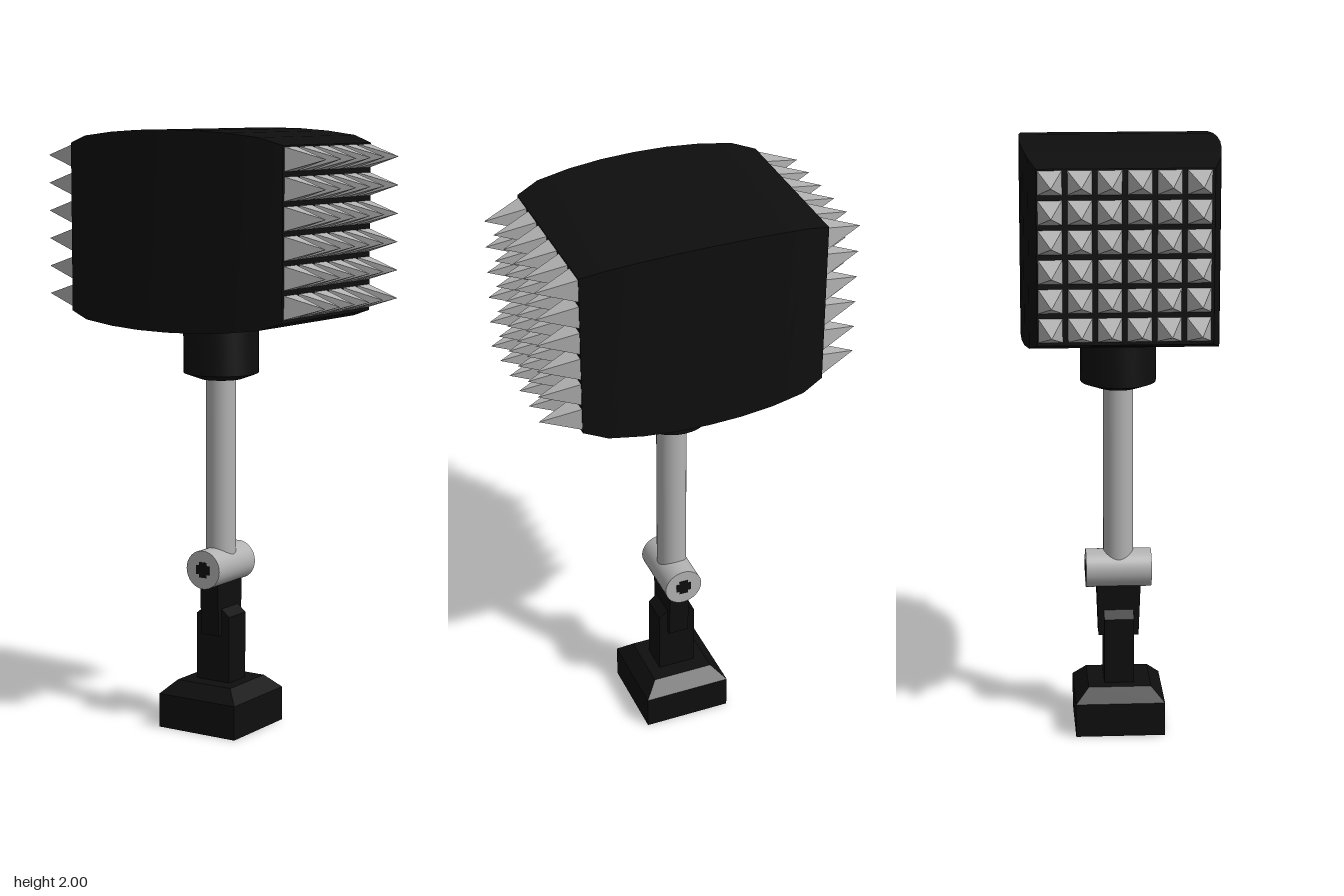
import * as THREE from 'three';
import { mergeGeometries, toCreasedNormals } from 'three/addons/utils/BufferGeometryUtils.js';

const black = new THREE.MeshStandardMaterial({ color: 0x0e0e0e });
black.name = 'black rubber';
const steel = new THREE.MeshStandardMaterial({ color: 0xb2b2b2 });
steel.name = 'steel';

const HEAD_Y = 1.68;

// Lathe with sharp edges kept; four sides gives a square block
function turned(points, sides) {
  const square = sides === 4;
  const k = square ? Math.SQRT2 : 1;
  const profile = points.map(([r, y]) => new THREE.Vector2(r * k, y));
  const g = new THREE.LatheGeometry(profile, sides, square ? Math.PI / 4 : 0);
  return toCreasedNormals(g, 0.5);
}

// Square block bulging towards its middle along x
function headGeometry() {
  const xs = [-0.405, -0.33, -0.22, -0.11, 0, 0.11, 0.22, 0.33, 0.405];
  const half = [0.274, 0.298, 0.311, 0.318, 0.32, 0.318, 0.311, 0.298, 0.274];
  const g = new THREE.BoxGeometry(8, 2, 2, 8, 1, 1);
  const p = g.attributes.position;
  for (let i = 0; i < p.count; i++) {
    const s = Math.round(p.getX(i) + 4);
    p.setXYZ(i, xs[s], p.getY(i) * half[s], p.getZ(i) * half[s]);
  }
  g.computeVertexNormals();
  return g;
}

// 6 x 6 field of pyramids pointing along +x or -x
function spikeField(side) {
  const cone = new THREE.ConeGeometry(0.039 * Math.SQRT2, 0.132, 4).toNonIndexed();
  cone.rotateY(Math.PI / 4);
  cone.rotateZ(-side * Math.PI / 2);
  cone.computeVertexNormals();
  const spikes = [];
  for (let row = 0; row < 6; row++) {
    for (let col = 0; col < 6; col++) {
      spikes.push(cone.clone().translate(
        side * 0.466, HEAD_Y + 0.003 + (row - 2.5) * 0.0915, -0.003 + (col - 2.5) * 0.092));
    }
  }
  return mergeGeometries(spikes);
}

export function createModel() {
  const model = new THREE.Group();
  model.name = 'spikedMallet';
  const add = (name, geometry, material) => {
    const mesh = new THREE.Mesh(geometry, material);
    mesh.name = name;
    model.add(mesh);
    return mesh;
  };

  // Head and its spiked striking faces
  add('head', headGeometry(), black).position.y = HEAD_Y;
  add('leftSpikes', spikeField(1), steel);
  add('rightSpikes', spikeField(-1), steel);

  // Collar under the head, and the shaft
  add('collar', turned([[0, 1.18], [0.07, 1.18], [0.125, 1.2], [0.125, 1.42]], 32), black);
  add('shaft', new THREE.CylinderGeometry(0.05, 0.05, 0.75, 32), steel).position.y = 0.925;

  // Hinge barrel with a cross recess at each end
  const barrel = new THREE.CylinderGeometry(0.065, 0.065, 0.22, 32);
  barrel.rotateX(Math.PI / 2);
  add('hingeBarrel', barrel, steel).position.y = 0.55;
  for (const side of [1, -1]) {
    for (const [w, h] of [[0.052, 0.03], [0.03, 0.052]]) {
      add('hingeRecess', new THREE.BoxGeometry(w, h, 0.004), black)
        .position.set(0, 0.55, side * 0.11);
    }
  }

  // Neck, tapering slightly downwards
  const neck = new THREE.BoxGeometry(0.07, 0.2, 0.15);
  const p = neck.attributes.position;
  for (let i = 0; i < p.count; i++) if (p.getY(i) < 0) p.setZ(i, p.getZ(i) * 0.9);
  neck.computeVertexNormals();
  add('neck', neck, black).position.y = 0.42;

  // Grip with shoulders chamfered into the neck
  const outline = new THREE.Shape([
    [-0.065, 0.14], [0.065, 0.14], [0.065, 0.385], [0.035, 0.41], [-0.035, 0.41], [-0.065, 0.385],
  ].map(([x, y]) => new THREE.Vector2(x, y)));
  add('grip', new THREE.ExtrudeGeometry(outline, { depth: 0.1, bevelEnabled: false }), black)
    .position.z = -0.05;

  // Square foot, chamfered above and dished below
  add('foot', turned([[0, 0.04], [0.15, 0], [0.15, 0.115], [0.105, 0.16], [0, 0.16]], 4), black);

  return model;
}
